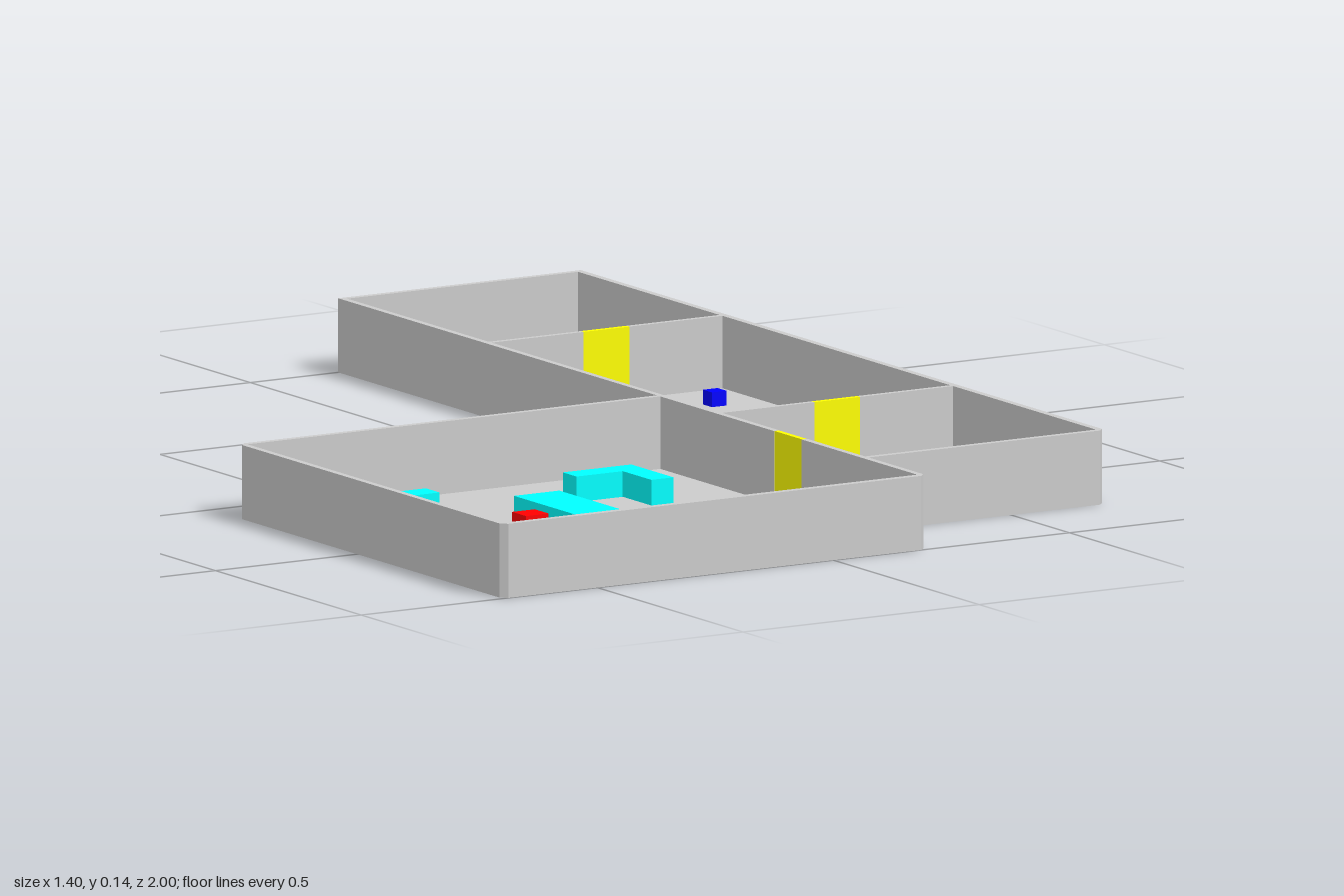
import * as THREE from 'three';

const H = 0.136;      // wall height
const FLOOR = 0.003;  // floor thickness

export function createModel() {
  const model = new THREE.Group();
  const material = (color) =>
    new THREE.MeshStandardMaterial({ color, flatShading: true, side: THREE.DoubleSide });
  const grey = material(0xcccccc);
  const cyan = material(0x00ffff);
  const red = material(0xff0000);
  const blue = material(0x0000ff);
  const yellow = material(0xffff00);

  const add = (name, geometry, mat) => {
    const mesh = new THREE.Mesh(geometry, mat);
    mesh.name = name;
    model.add(mesh);
    return mesh;
  };
  // Upright prism from a floor plan given as [x, z] corners
  const prism = (name, plan, height, mat) => {
    const shape = new THREE.Shape(plan.map(([x, z]) => new THREE.Vector2(x, -z)));
    const geometry = new THREE.ExtrudeGeometry(shape, { depth: height, bevelEnabled: false });
    return add(name, geometry.rotateX(-Math.PI / 2), mat);
  };
  // Box standing on the ground, given by its x and z ranges
  const block = (name, x0, x1, z0, z1, height, mat) => {
    const geometry = new THREE.BoxGeometry(x1 - x0, height, z1 - z0);
    return add(name, geometry.translate((x0 + x1) / 2, height / 2, (z0 + z1) / 2), mat);
  };

  // Floors: large room, and four corridor sections with a pit between two of them
  block('largeRoomFloor', -0.69, 0.19, 0.1, 0.99, FLOOR, grey);
  for (const [z0, z1] of [[-0.99, -0.5], [-0.5, -0.15], [-0.05, 0.295], [0.295, 0.792]]) {
    block('corridorFloor', 0.192, 0.692, z0, z1, FLOOR, grey);
  }

  // Large room walls, chamfered at the outer corners, open at the side door
  const c = 0.012;
  prism('largeRoomWalls', [
    [0.198, 0.495], [0.198, 0.093], [-0.7 + c, 0.093], [-0.7, 0.093 + c],
    [-0.7, 1 - c], [-0.7 + c, 1], [0.198 - c, 1], [0.198, 1 - c], [0.198, 0.59],
    [0.186, 0.59], [0.186, 0.986], [-0.688, 0.986], [-0.688, 0.105],
    [0.186, 0.105], [0.186, 0.495],
  ], H, grey);

  // Corridor walls, chamfered at the front corner
  prism('corridorWalls', [
    [0.186, 0.093], [0.186, -1], [0.7, -1], [0.7, 0.8 - c], [0.7 - c, 0.8],
    [0.198, 0.8], [0.198, 0.788], [0.687, 0.788], [0.687, -0.988],
    [0.198, -0.988], [0.198, 0.093],
  ], H, grey);

  // Dividers, each with a door in the middle
  for (const z of [-0.498, 0.293]) {
    const z0 = z - 0.005, z1 = z + 0.005;
    block('dividerLeft', 0.49, 0.688, z0, z1, H, grey);
    block('dividerRight', 0.197, 0.393, z0, z1, H, grey);
    block('door', 0.393, 0.49, z0, z1, H, yellow);
  }
  block('sideDoor', 0.187, 0.197, 0.495, 0.59, H, yellow);

  // Central obstacle and four L-shaped corner obstacles
  const cx = -0.255, cz = 0.54, high = 0.05;
  block('centreObstacle', cx - 0.048, cx + 0.048, cz - 0.145, cz + 0.145, high, cyan);
  const corner = [[0.29, 0.29], [0.145, 0.29], [0.145, 0.243], [0.243, 0.243], [0.243, 0.145], [0.29, 0.145]];
  for (const sx of [-1, 1]) {
    for (const sz of [-1, 1]) {
      prism('cornerObstacle', corner.map(([x, z]) => [cx + sx * x, cz + sz * z]), high, cyan);
    }
  }

  // Red cubes
  for (const [x, z] of [[-0.357, 0.539], [0.452, 0.712]]) {
    block('redCube', x - 0.024, x + 0.024, z - 0.024, z + 0.024, 0.048, red);
  }

  // Blue floor discs and the small blue cube
  for (const x of [0.32, 0.556]) {
    for (const z of [-0.597, 0.211]) {
      add('floorDisc', new THREE.CylinderGeometry(0.041, 0.041, 0.01, 32).translate(x, 0.005, z), blue);
    }
  }
  block('smallCube', 0.576, 0.607, -0.38, -0.349, 0.03, blue);

  return model;
}
